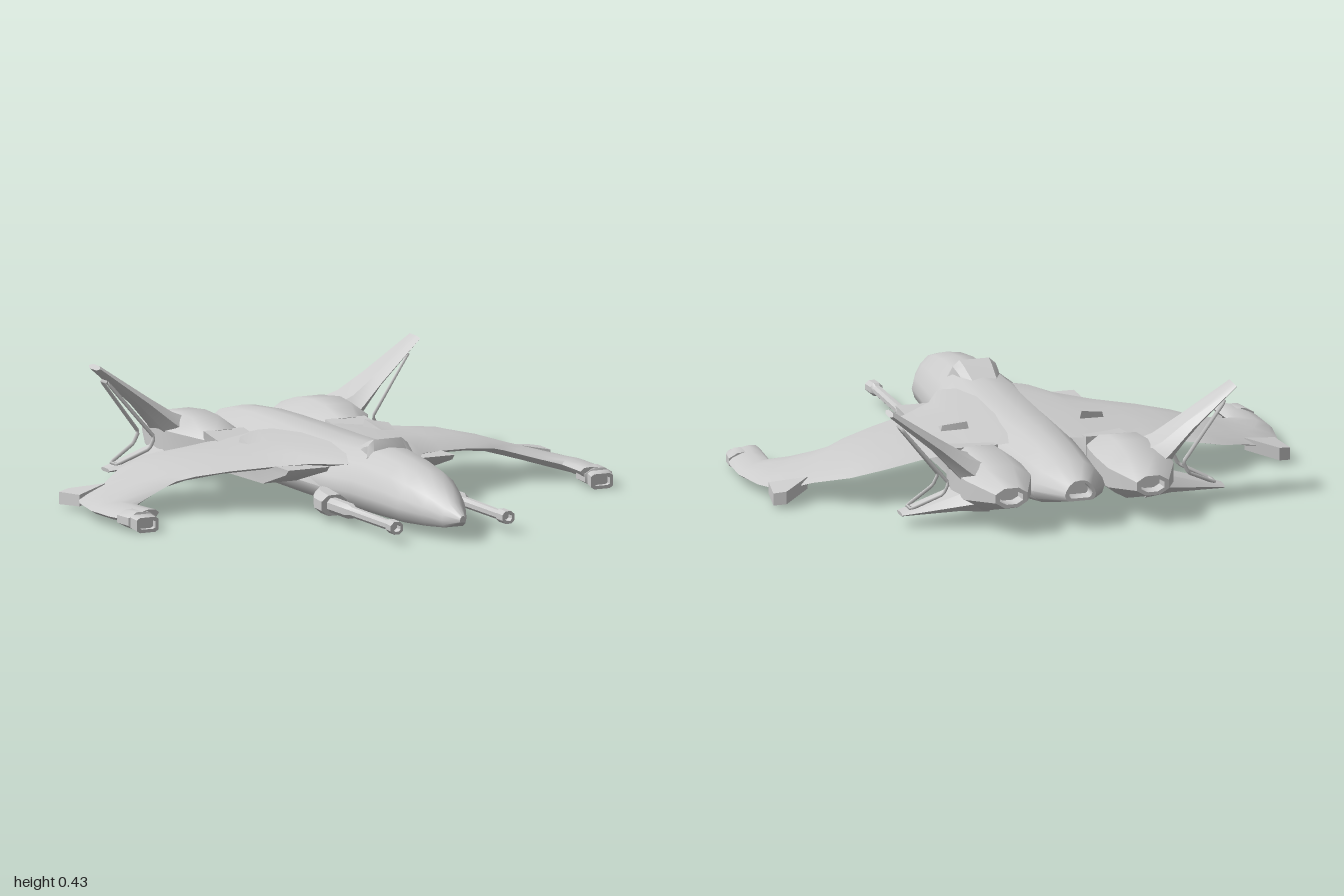
import * as THREE from 'three';
import { toCreasedNormals } from 'three/addons/utils/BufferGeometryUtils.js';

const material = new THREE.MeshStandardMaterial({ color: 0xcccccc });

// Skin a list of equal-length rings, cap both ends and turn all faces outward.
function loft(rings, crease = 0.6) {
  const n = rings[0].length, tris = [];
  for (let i = 0; i < rings.length - 1; i++) {
    for (let j = 0; j < n; j++) {
      const k = (j + 1) % n, a = rings[i], b = rings[i + 1];
      tris.push([a[j], a[k], b[k]], [a[j], b[k], b[j]]);
    }
  }
  const centre = r => [0, 1, 2].map(c => r.reduce((s, p) => s + p[c], 0) / n);
  const first = rings[0], last = rings[rings.length - 1];
  const c0 = centre(first), c1 = centre(last);
  for (let j = 0; j < n; j++) {
    const k = (j + 1) % n;
    tris.push([c0, first[k], first[j]], [c1, last[j], last[k]]);
  }
  const V = p => new THREE.Vector3(...p);
  const volume = tris.reduce((s, [a, b, c]) => s + V(a).dot(V(b).cross(V(c))), 0);
  if (volume < 0) tris.forEach(t => t.reverse());
  const geo = new THREE.BufferGeometry();
  geo.setAttribute('position', new THREE.Float32BufferAttribute(tris.flat(2), 3));
  return toCreasedNormals(geo, crease);
}

// Piecewise-linear lookup in [x, y] pairs.
function lookup(table, x) {
  let i = 1;
  while (i < table.length - 1 && table[i][0] < x) i++;
  const [x0, y0] = table[i - 1], [x1, y1] = table[i];
  return y0 + (y1 - y0) * THREE.MathUtils.clamp((x - x0) / (x1 - x0), 0, 1);
}

// Bevelled rectangle ring in the xy plane at depth z.
function octagon(z, x0, x1, y0, y1, bevel = 0.28) {
  const bx = (x1 - x0) * bevel, by = (y1 - y0) * bevel;
  return [[x0 + bx, y0], [x1 - bx, y0], [x1, y0 + by], [x1, y1 - by],
    [x1 - bx, y1], [x0 + bx, y1], [x0, y1 - by], [x0, y0 + by]].map(([x, y]) => [x, y, z]);
}

// Fuselage ring: rounded back, wide flanks, flat belly.
function hullRing([z, w, bottom, top]) {
  const half = [[0, 1], [0.4, 0.96], [0.72, 0.76], [0.93, 0.5], [1, 0.3], [0.92, 0.1], [0.75, 0]];
  const pts = [...half, ...half.slice(1).reverse().map(([x, y]) => [-x, y])];
  return pts.map(([x, y]) => [x * w, bottom + (top - bottom) * y, z]);
}

// Wing height and half thickness along the span.
const droop = [[0, 0.2], [0.15, 0.19], [0.3, 0.17], [0.5, 0.15], [0.6, 0.134], [0.7, 0.105],
  [0.8, 0.075], [0.9, 0.048], [1, 0.04]];
const thickness = [[0, 0.034], [0.4, 0.027], [0.8, 0.024], [1, 0.026]];

// Lens-shaped ring from leading to trailing point, following the droop.
function wingRing([xl, zl, xt, zt]) {
  return [[0, 0], [0.12, 0.65], [0.35, 1], [0.65, 0.9], [0.9, 0.45], [1, 0],
    [0.9, -0.45], [0.65, -0.9], [0.35, -1], [0.12, -0.65]].map(([t, h]) => {
    const x = xl + (xt - xl) * t;
    return [x, lookup(droop, x) + h * lookup(thickness, x), zl + (zt - zl) * t];
  });
}

// Fin ring: flattened hexagon across the blade, (nx, ny) is its normal.
function finRing(x, y, zf, zb, t, nx, ny) {
  return [[0, 0], [0.22, 1], [0.78, 1], [1, 0], [0.78, -1], [0.22, -1]]
    .map(([s, h]) => [x + nx * t * h, y + ny * t * h, zf + (zb - zf) * s]);
}

export function createModel() {
  const group = new THREE.Group();
  const add = (name, geo) => {
    const mesh = new THREE.Mesh(geo, material);
    mesh.name = name;
    group.add(mesh);
    return mesh;
  };

  // Fuselage from nose to recessed tail nozzle
  add('fuselage', loft([
    [0.93, 0.012, 0.072, 0.095], [0.86, 0.05, 0.045, 0.135], [0.78, 0.09, 0.04, 0.18],
    [0.67, 0.132, 0.037, 0.216], [0.55, 0.145, 0.036, 0.235], [0.36, 0.165, 0.036, 0.25],
    [0.2, 0.195, 0.036, 0.24], [0, 0.2, 0.035, 0.235], [-0.25, 0.19, 0.032, 0.235],
    [-0.45, 0.17, 0.03, 0.235], [-0.6, 0.155, 0.04, 0.232], [-0.78, 0.135, 0.07, 0.215],
    [-0.92, 0.058, 0.105, 0.18], [-0.92, 0.044, 0.115, 0.17], [-0.88, 0.04, 0.12, 0.165],
  ].map(hullRing), 0.7));

  // Raised step behind the canopy
  add('canopyStep', loft([[0.365, 0.1, 0.24], [0.345, 0.085, 0.28], [0.3, 0.08, 0.268], [0.22, 0.07, 0.236]]
    .map(([z, w, top]) => [[-w, 0.2, z], [w, 0.2, z], [w * 0.95, top - 0.022, z], [w * 0.65, top, z],
      [-w * 0.65, top, z], [-w * 0.95, top - 0.022, z]])));

  for (const s of [1, -1]) {
    const side = s > 0 ? 'left' : 'right';
    const part = (name, rings, crease) =>
      add(side + name, loft(rings.map(r => r.map(([x, y, z]) => [x * s, y, z])), crease));

    // Drooping wing that sweeps forward at the tip
    part('Wing', [
      [0.04, 0.34, 0.04, -0.43], [0.16, 0.29, 0.15, -0.43], [0.22, 0.19, 0.25, -0.425],
      [0.34, 0.11, 0.43, -0.42], [0.48, 0.05, 0.58, -0.44], [0.6, 0, 0.7, -0.4],
      [0.66, -0.03, 0.81, -0.31], [0.7, -0.02, 0.925, -0.28], [0.78, 0.005, 0.975, -0.17],
      [0.86, 0.04, 1, -0.03], [0.855, 0.12, 0.995, 0.1], [0.85, 0.205, 0.97, 0.21],
    ].map(wingRing), 0.9);

    // Backward spur on the wing tip
    part('TipSpur', [
      [[0.82, 0.04, -0.27], [0.95, 0.02, -0.22], [0.95, 0.062, -0.22], [0.82, 0.085, -0.27]],
      [[0.925, 0.015, -0.355], [0.97, 0.01, -0.34], [0.97, 0.055, -0.34], [0.925, 0.062, -0.355]],
    ]);

    // Cannon at the front of the wing tip
    part('TipCannon', [
      octagon(0.14, 0.865, 0.985, 0.008, 0.07), octagon(0.21, 0.865, 0.975, 0.004, 0.07),
      octagon(0.212, 0.875, 0.968, 0.008, 0.062, 0.15), octagon(0.245, 0.872, 0.96, 0, 0.055, 0.15),
      octagon(0.245, 0.885, 0.948, 0.012, 0.043, 0.15), octagon(0.225, 0.885, 0.948, 0.012, 0.043, 0.15),
    ]);

    // Small wedge vent on top of the wing
    part('WingVent', [
      [[0.225, 0.17, -0.13], [0.305, 0.16, -0.14], [0.295, 0.19, -0.14], [0.235, 0.202, -0.13]],
      [[0.2, 0.17, -0.25], [0.315, 0.16, -0.225], [0.3, 0.217, -0.225], [0.215, 0.232, -0.25]],
    ]);

    // Air duct under the wing with a slanted mouth
    part('AirDuct', [0.17, 0.335].map(x => [[x, 0.17, 0.22], [x, 0.15, 0.2], [x, 0.09, 0.02],
      [x * 0.97, 0.075, -0.46], [x * 0.97, 0.2, -0.46], [x, 0.165, -0.2]]));

    // Rear engine nacelle with recessed nozzle
    part('Nacelle', [
      octagon(-0.45, 0.17, 0.325, 0.085, 0.2), octagon(-0.56, 0.145, 0.39, 0.052, 0.232),
      octagon(-0.66, 0.14, 0.405, 0.042, 0.236), octagon(-0.79, 0.145, 0.39, 0.06, 0.222),
      octagon(-0.94, 0.205, 0.325, 0.108, 0.18), octagon(-0.94, 0.222, 0.308, 0.12, 0.168),
      octagon(-0.89, 0.225, 0.305, 0.122, 0.166),
    ], 0.75);

    // Upper and lower fins forming a sideways V
    part('UpperFin', [
      finRing(0.3, 0.15, -0.55, -0.82, 0.07, -0.62, 0.78),
      finRing(0.385, 0.215, -0.575, -0.79, 0.036, -0.62, 0.78),
      finRing(0.47, 0.287, -0.6, -0.765, 0.022, -0.62, 0.78),
      finRing(0.645, 0.422, -0.645, -0.735, 0.01, -0.62, 0.78),
    ], 0.5);
    part('LowerFin', [
      finRing(0.3, 0.1, -0.55, -0.82, 0.055, 0.15, 0.99),
      finRing(0.4, 0.08, -0.59, -0.78, 0.03, 0.15, 0.99),
      finRing(0.605, 0.046, -0.65, -0.72, 0.007, 0.15, 0.99),
    ], 0.5);

    // Raised rim framing the hollow between the fins
    const rim = new THREE.CurvePath();
    const rimPoints = [[0.605, 0.365, -0.665], [0.605, 0.365, -0.715], [0.44, 0.16, -0.745], [0.46, 0.12, -0.745],
      [0.57, 0.065, -0.71], [0.57, 0.065, -0.66], [0.46, 0.12, -0.62], [0.44, 0.16, -0.62]]
      .map(([x, y, z]) => new THREE.Vector3(x * s, y, z));
    rimPoints.forEach((p, i) => rim.add(new THREE.LineCurve3(p, rimPoints[(i + 1) % rimPoints.length])));
    add(side + 'FinRim', new THREE.TubeGeometry(rim, 64, 0.007, 4, true));

    // Nose gun: bracket, breech, barrel and muzzle
    part('GunBracket', [
      octagon(0.21, 0.15, 0.22, 0.05, 0.1), octagon(0.25, 0.165, 0.25, 0.03, 0.1),
      octagon(0.29, 0.17, 0.268, 0.02, 0.1), octagon(0.355, 0.17, 0.272, 0.02, 0.095),
    ]);
    part('GunBarrel', [
      octagon(0.35, 0.2, 0.25, 0.032, 0.085), octagon(0.49, 0.2, 0.25, 0.032, 0.085),
      octagon(0.51, 0.204, 0.24, 0.04, 0.076), octagon(0.79, 0.206, 0.238, 0.04, 0.074),
      octagon(0.8, 0.2, 0.246, 0.034, 0.082), octagon(0.85, 0.2, 0.25, 0.034, 0.08),
      octagon(0.85, 0.21, 0.24, 0.044, 0.07), octagon(0.82, 0.21, 0.24, 0.044, 0.07),
    ]);
  }
  return group;
}
